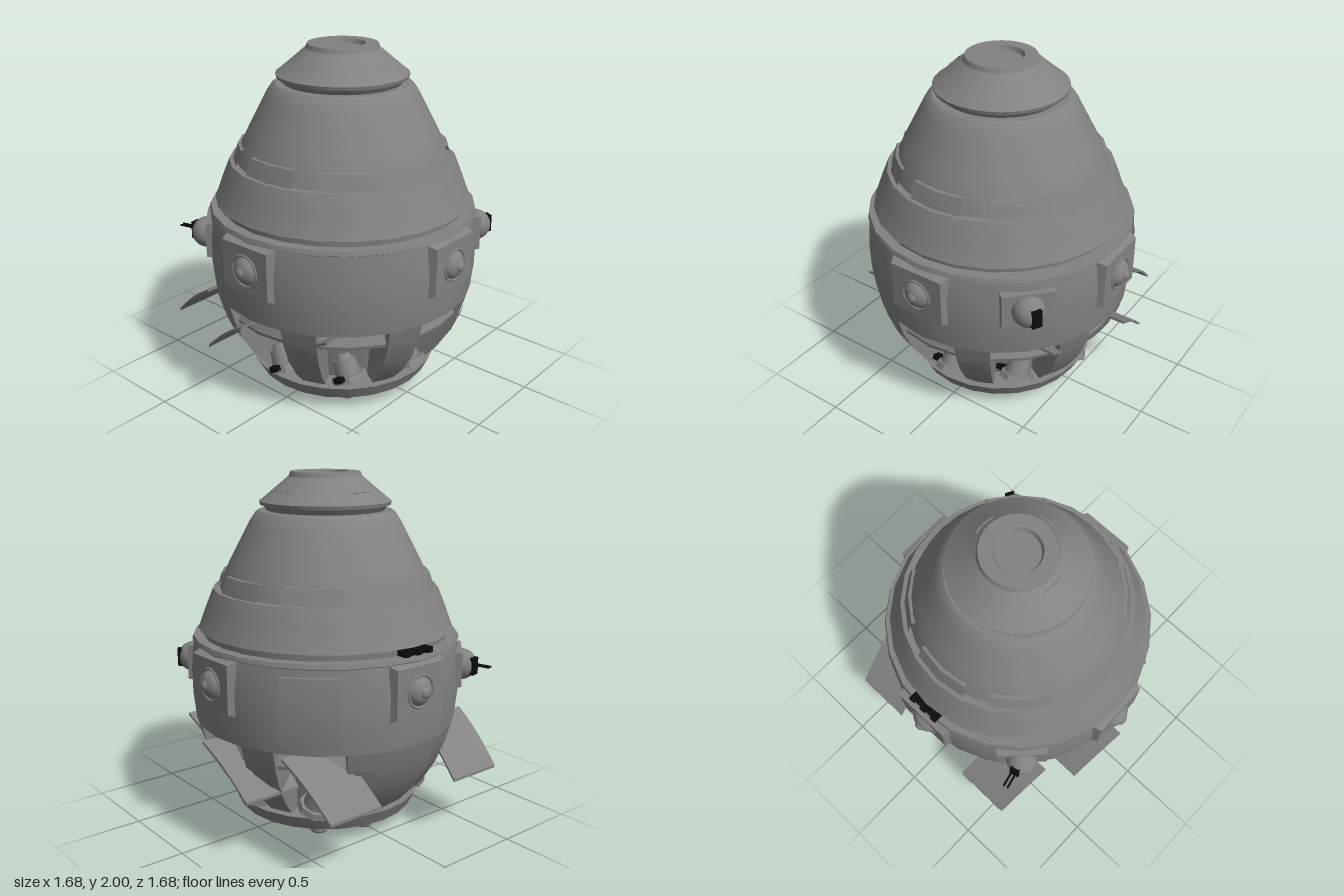
import * as THREE from 'three';
import { toCreasedNormals } from 'three/addons/utils/BufferGeometryUtils.js';

const RAD = Math.PI / 180;
const hullGrey = new THREE.MeshStandardMaterial({ color: 0x828282, side: THREE.DoubleSide });
hullGrey.name = 'hull grey';
const black = new THREE.MeshStandardMaterial({ color: 0x0c0c0c });
black.name = 'black';

export function createModel() {
  const model = new THREE.Group();
  model.name = 'dropPod';

  function add(name, geometry, material = hullGrey, parent = model, pos = [0, 0, 0]) {
    const mesh = new THREE.Mesh(geometry, material);
    mesh.name = name;
    mesh.position.set(...pos);
    parent.add(mesh);
    return mesh;
  }
  // Sector of a turned profile of [radius, height] points, listed bottom up; 0 degrees is the front
  function turned(name, pts, from = 0, sweep = 360, segs = Math.max(1, Math.round(sweep / 15))) {
    const v = pts.map(p => new THREE.Vector2(p[0], p[1]));
    return add(name, toCreasedNormals(new THREE.LatheGeometry(v, segs, from * RAD, sweep * RAD), 0.42));
  }
  // Group whose +z points outwards at the given angle
  function facing(name, deg) {
    const g = new THREE.Group();
    g.name = name;
    g.rotation.y = deg * RAD;
    model.add(g);
    return g;
  }
  // Box whose front face is narrower than its back
  function taperedBox(w, h, d, front) {
    const g = new THREE.BoxGeometry(w, h, d).toNonIndexed();
    const p = g.attributes.position;
    for (let i = 0; i < p.count; i++) if (p.getZ(i) > 0) p.setXY(i, p.getX(i) * front, p.getY(i) * front);
    g.computeVertexNormals();
    return g;
  }

  // Upper shells
  turned('noseCap', [[0.33, 1.79], [0.35, 1.82], [0.365, 1.82], [0.37, 1.84], [0.355, 1.85], [0.205, 1.975],
    [0.195, 2], [0.125, 2], [0.115, 1.975], [0, 1.975]], 0, 360, 32);
  turned('upperShell', [[0.6, 1.36], [0.57, 1.45], [0.53, 1.53], [0.48, 1.625], [0.425, 1.73], [0.395, 1.775],
    [0.375, 1.79], [0.32, 1.79]], 0, 360, 32);
  turned('middleRing', [[0.7, 1.09], [0.705, 1.14], [0.728, 1.14], [0.72, 1.155], [0.685, 1.25], [0.64, 1.36], [0.58, 1.36]]);
  for (let i = 0; i < 4; i++)
    turned('nosePanel', [[0.3, 1.898], [0.304, 1.9], [0.236, 1.957], [0.23, 1.955]], i * 90 - 15, 30, 3);
  for (let i = 0; i < 8; i++)
    turned('shellBlock', [[0.618, 1.36], [0.588, 1.45], [0.565, 1.452]], i * 45 - 15.5, 31, 2);

  // Main hull, with seven open bays below it and a closed back
  const lower = [[0.52, 0.17], [0.6, 0.26], [0.675, 0.38], [0.725, 0.5], [0.755, 0.61]];
  turned('hullBand', [[0.64, 0.61], [0.755, 0.61], [0.77, 0.75], [0.773, 0.9], [0.757, 1.07], [0.765, 1.075],
    [0.757, 1.1], [0.69, 1.1]]);
  turned('innerCore', [[0.42, 0.165], [0.47, 0.4], [0.64, 0.61]]);
  turned('backHull', lower, 165, 30);
  const wallShape = new THREE.Shape([...lower, [0.64, 0.61], [0.47, 0.4], [0.42, 0.17]].map(p => new THREE.Vector2(...p)));
  for (let i = 0; i < 8; i++) {
    const a = i * 45;
    turned('rib', lower, a + 15, 15);
    turned('ribPlate', lower.slice(0, 4).map(p => [p[0] + 0.006, p[1] + 0.005]), a + 18.2, 8.6);
    if (i === 4) continue;
    for (const s of [-15, 15])
      add('bayWall', new THREE.ShapeGeometry(wallShape)).rotation.y = (a + s) * RAD - Math.PI / 2;
    turned('bayLintel', [[0.63, 0.5], [0.7, 0.5], [0.705, 0.52], [0.66, 0.61]], a - 15, 30);

    // Tilted thruster standing in the bay
    const thruster = new THREE.Group();
    thruster.name = 'bayThruster';
    thruster.position.set(Math.sin(a * RAD) * 0.5, 0.22, Math.cos(a * RAD) * 0.5);
    thruster.rotation.x = -0.4;
    model.add(thruster);
    add('thrusterFlange', toCreasedNormals(new THREE.CylinderGeometry(0.095, 0.105, 0.035, 8), 0.3), hullGrey, thruster);
    add('thrusterBody', new THREE.CylinderGeometry(0.062, 0.075, 0.09, 12), hullGrey, thruster, [0, 0.06, 0]);
    add('thrusterCap', new THREE.CylinderGeometry(0.035, 0.05, 0.03, 12), hullGrey, thruster, [0, 0.12, 0]);
    add('thrusterValve', new THREE.BoxGeometry(0.04, 0.03, 0.05), black, thruster, [-0.1, 0.015, 0.02]);
  }

  // Service hatch on the hull
  turned('hatch', [[0.757, 0.65], [0.765, 0.652], [0.777, 0.75], [0.78, 0.9], [0.768, 1.028], [0.76, 1.03]], 123, 24, 2);

  // Four large sensor mounts
  for (let i = 0; i < 4; i++) {
    const g = facing('sensorMount', i * 90);
    add('mountPlate', taperedBox(0.4, 0.33, 0.1, 0.82), hullGrey, g, [0, 0.92, 0.735]);
    add('sensorRing', new THREE.TorusGeometry(0.088, 0.008, 6, 24), hullGrey, g, [0, 0.915, 0.786]);
    const ball = add('sensorBall', new THREE.SphereGeometry(0.082, 20, 14), hullGrey, g, [0, 0.915, 0.765]);
    ball.scale.z = 0.75;
    const lens = add('sensorLens', new THREE.SphereGeometry(0.03, 12, 8), hullGrey, g, [0, 0.915, 0.82]);
    lens.scale.z = 0.6;
  }

  // Two diagonal gun turrets
  for (const a of [45, 225]) {
    const g = facing('gunTurret', a);
    add('turretFrame', taperedBox(0.3, 0.21, 0.07, 0.94), hullGrey, g, [0, 0.915, 0.75]);
    add('turretBall', new THREE.SphereGeometry(0.09, 20, 14), hullGrey, g, [0, 0.915, 0.785]);
    const mount = new THREE.Group();
    mount.name = 'turretGun';
    mount.position.set(0, 0.915, 0.785);
    mount.rotation.y = (a === 225 ? -32 : 18) * RAD;
    g.add(mount);
    add('gunSlot', new THREE.BoxGeometry(0.055, 0.1, 0.04), black, mount, [0, 0, 0.075]);
    if (a === 225) for (const x of [-0.012, 0.012]) {
      const barrel = add('gunBarrel', new THREE.CylinderGeometry(0.006, 0.006, 0.11, 8), black, mount, [x, 0.01, 0.13]);
      barrel.rotation.x = Math.PI / 2;
    }
  }

  // Antenna cluster on the back rim
  for (let i = -2; i <= 2; i++)
    add('antennaBlock', new THREE.BoxGeometry(0.036, 0.03, i % 2 ? 0.035 : 0.06), black, model, [i * 0.04, 1.122, -0.738]);
  add('antennaBar', new THREE.BoxGeometry(0.12, 0.016, 0.05), black, model, [0, 1.128, -0.715]);

  // Bent hull flaps, swung open towards the back: outer x and starting z of each
  for (const s of [-1, 1]) for (const [x0, z0] of [[0.84, 0.01], [0.66, -0.46], [0.66, 0.46]]) {
    const flap = new THREE.BoxGeometry(0.34, 0.016, 1, 1, 1, 6);
    const p = flap.attributes.position;
    for (let i = 0; i < p.count; i++) {
      const t = 0.5 - p.getZ(i);
      const bend = 0.02 * Math.sin(Math.PI * t);
      p.setXYZ(i, s * (x0 - 0.17 - 0.05 * t) + p.getX(i), 0.6 - 0.255 * t + bend + p.getY(i), z0 - 0.335 * t);
    }
    add('hullFlap', toCreasedNormals(flap, 0.5));
  }

  // Base ring and underside
  turned('baseRing', [[0, 0.125], [0.41, 0.125], [0.43, 0.085], [0.515, 0.085], [0.555, 0.165], [0.4, 0.172], [0, 0.172]]);
  turned('mainNozzle', [[0, 0.11], [0.13, 0.11], [0.145, 0.025], [0.19, 0.025], [0.2, 0.06], [0.2, 0.125]]);
  const wedge = new THREE.Shape([[-0.09, 0.41], [0.09, 0.41], [0.035, 0.2], [-0.035, 0.2]].map(p => new THREE.Vector2(...p)));
  for (let i = 0; i < 8; i++) {
    const g = facing('engine', i * 45);
    const cup = [[0, 0.03], [0.032, 0.03], [0.036, 0], [0.046, 0], [0.053, 0.012], [0.053, 0.06], [0.04, 0.065], [0.04, 0.125]];
    const engine = turned('smallNozzle', cup, 0, 360, 16);
    g.add(engine);
    engine.position.z = 0.35;
    const block = add('baseWedge', new THREE.ExtrudeGeometry(wedge, { depth: 0.035, bevelEnabled: false }), hullGrey,
      facing('wedgeMount', i * 45 + 22.5), [0, 0.125, 0]);
    block.rotation.x = Math.PI / 2;
  }
  return model;
}
